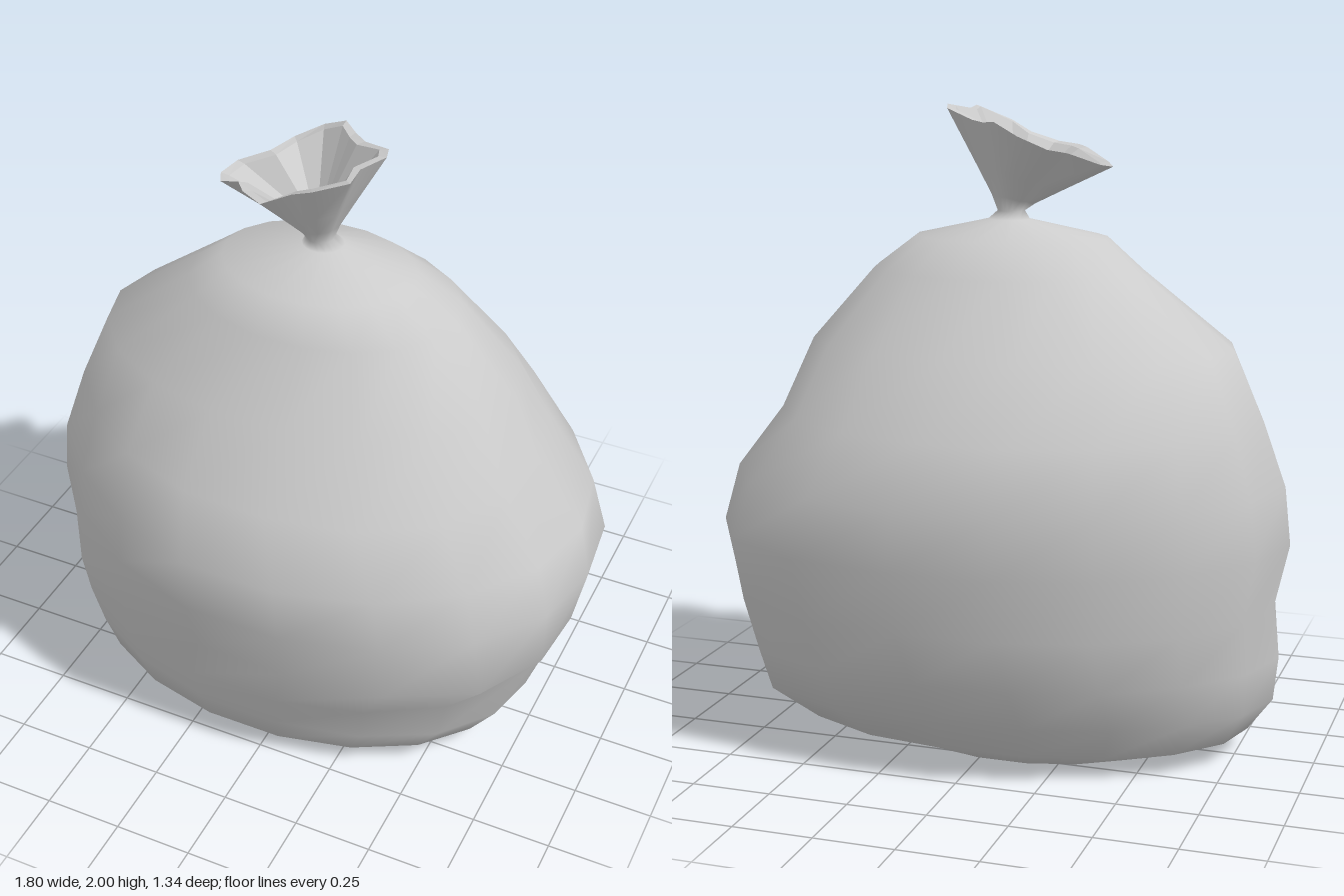
import * as THREE from 'three';

// Skins a stack of closed rings (arrays of [x, y, z]), listed from the bottom up
function loft(rings, flat = false) {
  const n = rings[0].length, index = [];
  for (let i = 0; i < rings.length - 1; i++) {
    for (let j = 0; j < n; j++) {
      const k = (j + 1) % n;
      const a = i * n + j, b = a + n, c = i * n + k, d = c + n;
      index.push(a, b, c, c, b, d);
    }
  }
  let g = new THREE.BufferGeometry();
  g.setAttribute('position', new THREE.Float32BufferAttribute(rings.flat(2), 3));
  g.setIndex(index);
  if (flat) g = g.toNonIndexed();
  g.computeVertexNormals();
  return g;
}

// Slumped bag: y, x from, x to, z from, z to, then how far the four corners
// swell or shrink (front left, front right, back right, back left)
const SIDES = 18;
const levels = [
  [0, -0.08, -0.07, 0.04, 0.05],
  [0, -0.53, 0.38, -0.28, 0.37],
  [0.07, -0.78, 0.66, -0.40, 0.50, [0, 0, 0, 0.10]],
  [0.18, -0.86, 0.74, -0.47, 0.54, [0.02, -0.03, -0.03, 0.19]],
  [0.33, -0.88, 0.79, -0.58, 0.59, [0, -0.01, -0.04, 0.13]],
  [0.49, -0.86, 0.86, -0.60, 0.61, [0.10, 0.04, 0, 0.10]],
  [0.69, -0.905, 0.90, -0.66, 0.67, [0.01, -0.05, -0.02, 0.08]],
  [0.87, -0.885, 0.865, -0.655, 0.67, [0, -0.05, -0.02, 0.03]],
  [1.07, -0.82, 0.70, -0.62, 0.58, [0.08, -0.04, 0, 0.03]],
  [1.28, -0.72, 0.62, -0.44, 0.44, [0.02, 0, 0, 0.03]],
  [1.5, -0.43, 0.43, -0.30, 0.32],
  [1.6, -0.31, 0.30, -0.19, 0.25],
  [1.655, -0.07, 0.06, -0.055, 0.06],
];

function bagRing([y, x0, x1, z0, z1, corners = [0, 0, 0, 0]]) {
  return Array.from({ length: SIDES }, (_, j) => {
    const a = (j / SIDES) * Math.PI * 2;
    const f = 1 + corners[Math.floor(j * 4 / SIDES)] * Math.sin(2 * a) ** 2;
    return [
      (x0 + x1) / 2 + (x1 - x0) / 2 * Math.cos(a) * f, y,
      (z0 + z1) / 2 + (z1 - z0) / 2 * Math.sin(a) * f / 0.985,
    ];
  });
}

// Crumpled rim of the gathered mouth: x, y, z
const rim = [
  [0.20, 2.0, 0.02], [0.15, 1.985, 0.09], [0.16, 1.99, 0.18], [0.05, 1.945, 0.20],
  [-0.02, 1.91, 0.18], [-0.10, 1.88, 0.22], [-0.18, 1.875, 0.17], [-0.22, 1.87, 0.12],
  [-0.30, 1.83, 0.08], [-0.33, 1.82, 0.02], [-0.31, 1.83, -0.05], [-0.22, 1.865, -0.09],
  [-0.18, 1.88, -0.17], [-0.10, 1.92, -0.21], [-0.02, 1.96, -0.19], [0.03, 1.955, -0.145],
  [0.08, 1.96, -0.10], [0.18, 1.99, -0.04],
];
const NECK = [-0.01, 1.68, 0.01];

// A ring widening from the neck (t = 0) to the rim (t = 1), at a share of its height
function mouthRing(t, height) {
  return rim.map(([x, y, z]) => {
    const dx = x - NECK[0], dz = z - NECK[2], r = Math.hypot(dx, dz);
    const s = (0.042 * (1 - t) + r * t) / r;
    return [NECK[0] + dx * s, NECK[1] + (y - NECK[1]) * height, NECK[2] + dz * s];
  });
}

export function createModel() {
  const group = new THREE.Group();
  const material = new THREE.MeshStandardMaterial({ color: 0xcccccc, side: THREE.DoubleSide });
  const add = (name, geometry) => {
    const mesh = new THREE.Mesh(geometry, material);
    mesh.name = name;
    group.add(mesh);
  };

  // Bag, pinched neck and outside of the mouth in one smooth skin
  add('bag', loft([
    ...levels.map(bagRing),
    mouthRing(0, 0), mouthRing(0.12, 0.16), mouthRing(0.42, 0.45), mouthRing(1, 1),
  ]));

  // Thick lip and the pleated inside, running down to a point
  const innerRim = rim.map(([x, y, z]) => {
    const s = 1 - 0.027 / Math.hypot(x + 0.02, z - 0.015);
    return [-0.02 + (x + 0.02) * s, y - 0.004, 0.015 + (z - 0.015) * s];
  });
  const pit = rim.map(() => [-0.02, 1.72, 0.015]);
  add('mouthLip', loft([rim, innerRim], true));
  add('mouthInside', loft([innerRim, pit], true));

  return group;
}
